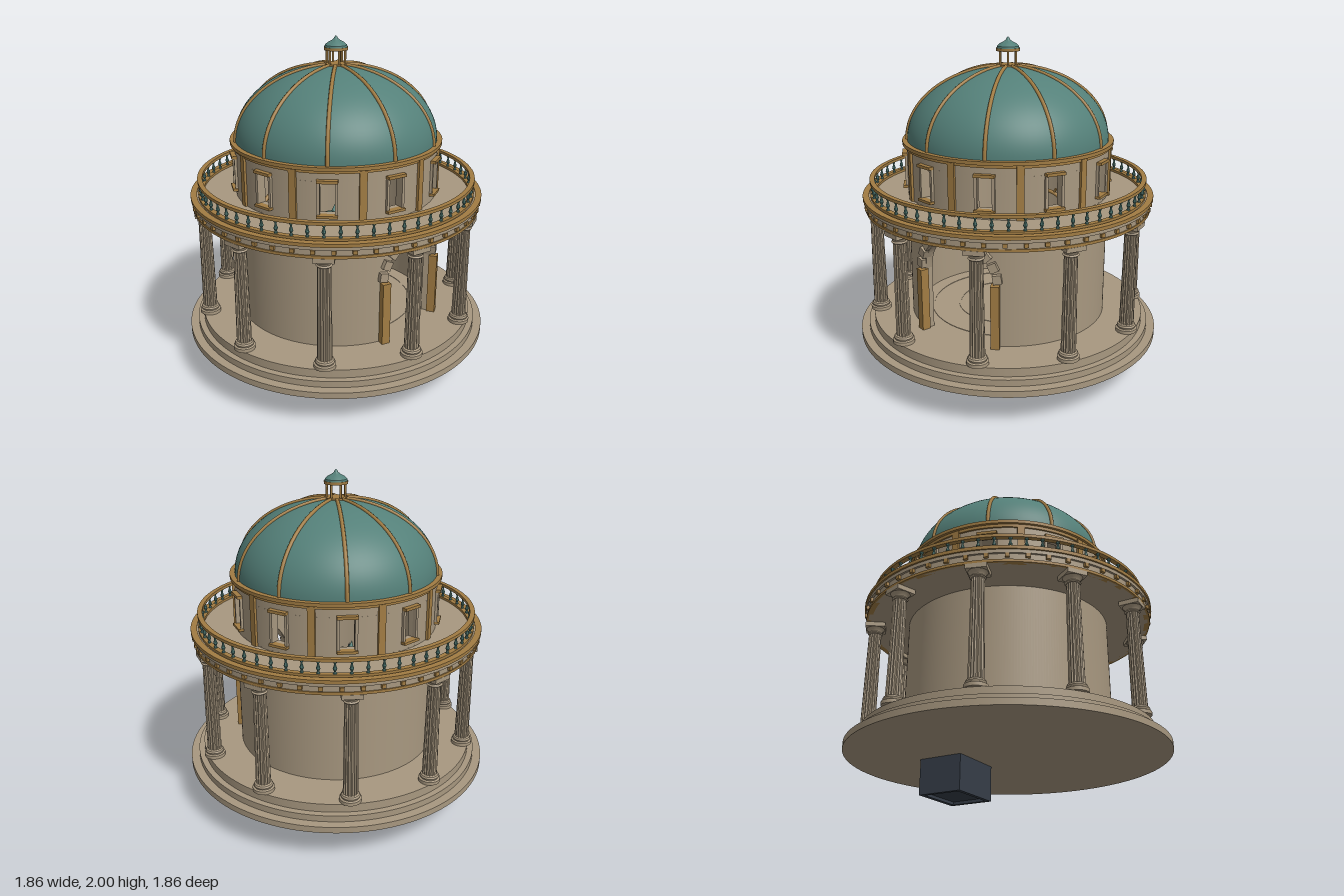
import * as THREE from 'three';
import { toCreasedNormals } from 'three/addons/utils/BufferGeometryUtils.js';

const mat = (name, color, side = THREE.FrontSide) => Object.assign(new THREE.MeshStandardMaterial({ color, side }), { name });
const stone = mat('stone', 0xa89880);
const gold = mat('gold', 0xa17c43);
const teal = mat('verdigris', 0x548079);
const slate = mat('slate', 0x363e49);
const dark = mat('darkTeal', 0x24363a);
const amber = mat('amber', 0xd09a3a);

export function createModel() {
  const model = new THREE.Group();
  const group = (name, parent = model) => {
    const g = new THREE.Group();
    g.name = name;
    parent.add(g);
    return g;
  };
  const add = (parent, name, geo, material, x = 0, y = 0, z = 0) => {
    const m = new THREE.Mesh(geo, material);
    m.name = name;
    m.position.set(x, y, z);
    parent.add(m);
    return m;
  };
  const lathe = (pts, seg = 96) => toCreasedNormals(
    new THREE.LatheGeometry(pts.map(p => new THREE.Vector2(...p)), seg), 0.6);
  const ring = (ri, ro, y0, y1, seg = 96) => lathe([[ri, y0], [ro, y0], [ro, y1], [ri, y1], [ri, y0]], seg);
  const box = (w, h, d) => new THREE.BoxGeometry(w, h, d);
  const cyl = (rt, rb, h, seg = 12) => new THREE.CylinderGeometry(rt, rb, h, seg);

  // Curved wall block: a box bent round the y axis; angle 0 faces the front
  const wall = (a0, a1, ri, ro, y0, y1, bottom) => {
    const g = new THREE.BoxGeometry(a1 - a0, y1 - y0, ro - ri, Math.max(2, Math.ceil((a1 - a0) * 40)));
    const p = g.attributes.position;
    for (let i = 0; i < p.count; i++) {
      const a = p.getX(i) + (a0 + a1) / 2, r = p.getZ(i) + (ri + ro) / 2;
      const low = p.getY(i) < 0;
      p.setXYZ(i, r * Math.sin(a), low ? (bottom ? bottom(a) : y0) : y1, r * Math.cos(a));
    }
    g.computeVertexNormals();
    return g;
  };
  // Calls fn with a pivot turned to each of n even angles
  const around = (parent, name, n, offset, fn) => {
    for (let k = 0; k < n; k++) {
      const g = group(name, parent);
      g.rotation.y = offset + k * Math.PI * 2 / n;
      fn(g, k);
    }
  };

  // Stepped base, cut through by the stairwell
  const base = group('base');
  for (const [r, y0, y1] of [[0.93, 0.205, 0.242], [0.88, 0.242, 0.28], [0.845, 0.28, 0.33]]) {
    const s = new THREE.Shape().absarc(0, 0, r, 0, Math.PI * 2);
    s.holes.push(new THREE.Path([[0.2, -0.085], [0.2, 0.205], [0.42, 0.205], [0.42, -0.085]].map(p => new THREE.Vector2(...p))));
    const g = new THREE.ExtrudeGeometry(s, { depth: y1 - y0, bevelEnabled: false, curveSegments: 96 });
    g.rotateX(-Math.PI / 2);
    add(base, 'step', toCreasedNormals(g, 0.6), stone, 0, y0, 0);
  }

  // Stairwell below the floor, with steps and a small rail
  const well = group('stairwell');
  for (const x of [0.1875, 0.4325]) add(well, 'sideWall', box(0.025, 0.205, 0.34), slate, x, 0.1025, -0.06);
  for (const z of [0.0975, -0.2175]) add(well, 'endWall', box(0.22, 0.205, 0.025), slate, 0.31, 0.1025, z);
  add(well, 'wellFloor', box(0.22, 0.015, 0.29), slate, 0.31, 0.025, -0.06);
  for (let i = 0; i < 5; i++) add(well, 'stair', box(0.22, 0.05 * (i + 1), 0.05), slate, 0.31, 0.03 + 0.025 * (i + 1), 0.05 - (4 - i) * 0.05);
  for (const z of [0.09, -0.06, -0.21]) add(well, 'railPost', cyl(0.01, 0.01, 0.12, 8), teal, 0.19, 0.39, z);
  add(well, 'handRail', box(0.022, 0.015, 0.33), teal, 0.19, 0.453, -0.06);

  // Lower wall with an arched doorway
  const room = group('room');
  const doorA = Math.asin(0.22 / 0.58);
  add(room, 'wall', wall(doorA, Math.PI * 2 - doorA, 0.56, 0.605, 0.33, 1.09), stone);
  add(room, 'archWall', wall(-doorA, doorA, 0.56, 0.605, 0.7, 1.09,
    a => 0.71 + Math.sqrt(Math.max(0, 0.22 ** 2 - (0.58 * Math.sin(a)) ** 2))), stone);
  for (const s of [-1, 1]) add(room, 'doorPost', box(0.05, 0.38, 0.05), gold, s * 0.245, 0.52, 0.57).rotation.y = s * 0.41;
  for (let i = 0; i < 11; i++) {
    const t = Math.PI * (i + 0.5) / 11, x = 0.25 * Math.cos(t);
    const v = add(room, i === 5 ? 'keystone' : 'archStone', box(i === 5 ? 0.08 : 0.05, 0.052, 0.06), stone,
      x, 0.71 + 0.25 * Math.sin(t), Math.sqrt(0.602 ** 2 - x * x));
    v.rotation.set(0, Math.asin(x / 0.602), t, 'YXZ');
  }
  for (const r of [0.3, 0.47]) add(room, 'floorRing', ring(r, r + 0.012, 0.328, 0.333), stone);

  // Sun ring on the rear wall
  const halo = group('sunRing');
  halo.position.set(0, 0.765, -0.5);
  add(halo, 'hoop', new THREE.TorusGeometry(0.185, 0.013, 8, 64), gold);
  for (let i = 0; i < 16; i++) {
    const t = i * Math.PI / 8;
    add(halo, 'ray', box(0.03, 0.012, 0.015), gold, 0.205 * Math.cos(t), 0.205 * Math.sin(t), 0).rotation.z = t;
  }

  // Ten fluted columns
  const flute = cyl(0.037, 0.043, 0.58, 64);
  const fp = flute.attributes.position;
  for (let i = 0; i < fp.count; i++) {
    const x = fp.getX(i), z = fp.getZ(i);
    const step = Math.round(Math.atan2(x, z) / (Math.PI * 2) * 64 + 64) % 4;
    const k = [1, 0.9, 0.87, 0.9][step];
    fp.setXYZ(i, x * k, fp.getY(i), z * k);
  }
  const shaft = toCreasedNormals(flute, 0.4);
  const foot = lathe([[0, 0.33], [0.062, 0.33], [0.062, 0.35], [0.052, 0.355], [0.055, 0.365], [0.05, 0.375], [0.04, 0.38], [0, 0.38]], 24);
  const bell = lathe([[0, 0.935], [0.038, 0.935], [0.045, 0.942], [0.038, 0.95], [0.042, 0.96], [0.055, 0.975], [0, 0.975]], 24);
  const abacus = box(0.116, 0.026, 0.116);
  around(group('colonnade'), 'column', 10, Math.PI / 10 * 5, g => {
    add(g, 'columnFoot', foot, stone, 0, 0, 0.805);
    add(g, 'columnShaft', shaft, stone, 0, 0.66, 0.805);
    add(g, 'columnBell', bell, stone, 0, 0, 0.805);
    add(g, 'columnAbacus', abacus, stone, 0, 0.987, 0.805);
  });

  // Ring beam, cornice and dentils
  const beam = group('entablature');
  add(beam, 'deck', ring(0.6, 0.85, 1.0, 1.085), stone);
  add(beam, 'lowerMoulding', ring(0.83, 0.862, 1.0, 1.016), gold);
  add(beam, 'frieze', ring(0.84, 0.856, 1.016, 1.065), stone);
  add(beam, 'corniceShelf', ring(0.84, 0.868, 1.05, 1.07), stone);
  add(beam, 'cornice', ring(0.84, 0.877, 1.07, 1.09), gold);
  const dentil = box(0.024, 0.022, 0.022);
  around(beam, 'dentil', 50, 0, g => add(g, 'dentilBlock', dentil, gold, 0, 1.037, 0.861));

  // Balustrade
  const rails = group('balustrade');
  add(rails, 'bottomRail', ring(0.802, 0.832, 1.085, 1.1), gold);
  add(rails, 'topRail', ring(0.803, 0.832, 1.17, 1.188), gold);
  const vase = lathe([[0.009, 1.1], [0.009, 1.108], [0.005, 1.113], [0.012, 1.128], [0.006, 1.148], [0.005, 1.157], [0.01, 1.164], [0.01, 1.17]], 8);
  around(rails, 'baluster', 60, 0, g => add(g, 'balusterVase', vase, teal, 0, 0, 0.817));

  // Upper drum: ten windows between gold pilasters
  const drum = group('drum');
  const half = 0.075, bay = Math.PI / 10;
  add(drum, 'lowerBand', ring(0.56, 0.605, 1.08, 1.14), stone);
  add(drum, 'upperBand', ring(0.56, 0.605, 1.325, 1.4), stone);
  const pier = wall(half, bay * 2 - half, 0.56, 0.605, 1.14, 1.325);
  const pilaster = box(0.042, 0.3, 0.03);
  around(drum, 'bay', 10, Math.PI / 2, g => {
    add(g, 'pier', pier, stone);
    add(g, 'lintel', box(0.115, 0.017, 0.04), gold, 0, 1.33, 0.612);
    add(g, 'sill', box(0.115, 0.015, 0.04), gold, 0, 1.133, 0.612);
    for (const s of [-1, 1]) add(g, 'jamb', box(0.016, 0.18, 0.025), stone, s * 0.049, 1.232, 0.605);
    const side = group('pilaster', g);
    side.rotation.y = bay;
    add(side, 'pilasterStrip', pilaster, gold, 0, 1.235, 0.604);
  });
  add(drum, 'lowerCornice', ring(0.56, 0.615, 1.372, 1.39), gold);
  add(drum, 'upperCornice', ring(0.56, 0.63, 1.39, 1.41), gold);

  // Dome shell, inner shell and ribs
  const dome = group('dome');
  const curve = (r, h, n = 24) => Array.from({ length: n + 1 }, (_, i) => {
    const t = i / n * (Math.PI / 2 - 0.1);
    return [r * Math.cos(t), 1.405 + h * Math.sin(t)];
  });
  add(dome, 'shell', lathe(curve(0.6, 0.43)), teal);
  add(dome, 'ceiling', lathe(curve(0.58, 0.41).reverse()), stone);
  add(dome, 'crown', ring(0, 0.068, 1.815, 1.842, 32), gold);
  const ribPath = new THREE.CatmullRomCurve3(curve(0.601, 0.432, 12).map(([r, y]) => new THREE.Vector3(0, y, r)));
  const rib = new THREE.TubeGeometry(ribPath, 32, 0.011, 8);
  around(dome, 'rib', 10, Math.PI / 2, g => add(g, 'ribBar', rib, gold));

  // Lantern
  const lantern = group('lantern');
  around(lantern, 'lanternPost', 6, Math.PI / 2, g => add(g, 'post', cyl(0.007, 0.007, 0.085, 8), gold, 0, 1.88, 0.053));
  add(lantern, 'collar', ring(0, 0.07, 1.918, 1.934, 32), gold);
  add(lantern, 'cap', lathe([[0.066, 1.934], [0.064, 1.945], [0.048, 1.96], [0.025, 1.972], [0.012, 1.982], [0.009, 1.99], [0, 2.0]], 32), teal);

  // Pedestal
  const shrine = group('statue');
  shrine.position.z = -0.1;
  const ped = group('pedestal', shrine);
  add(ped, 'plinth', cyl(0.155, 0.165, 0.05, 48), stone, 0, 0.355, 0);
  add(ped, 'drumBlock', cyl(0.138, 0.138, 0.1, 48), slate, 0, 0.43, 0);
  add(ped, 'topPlate', cyl(0.152, 0.145, 0.022, 48), gold, 0, 0.488, 0);
  add(ped, 'lowerBand', cyl(0.144, 0.144, 0.01, 48), gold, 0, 0.384, 0);
  around(ped, 'ornament', 12, 0, g => {
    add(g, 'diamond', box(0.016, 0.016, 0.006), gold, 0, 0.43, 0.139).rotation.z = Math.PI / 4;
  });

  // Seated horned cat
  const cat = group('cat', shrine);
  const sphere = new THREE.SphereGeometry(1, 24, 16);
  const ball = (name, m, x, y, z, sx, sy, sz) => {
    const b = add(cat, name, sphere, m, x, y, z);
    b.scale.set(sx, sy, sz);
    return b;
  };
  ball('body', teal, 0, 0.63, -0.02, 0.095, 0.135, 0.09);
  ball('chest', teal, 0, 0.68, 0.025, 0.08, 0.08, 0.065);
  ball('head', teal, 0, 0.835, 0.04, 0.088, 0.068, 0.07);
  ball('muzzle', teal, 0, 0.805, 0.1, 0.042, 0.028, 0.025);
  ball('nose', dark, 0, 0.825, 0.122, 0.012, 0.008, 0.008);
  ball('mouth', amber, 0, 0.786, 0.1, 0.04, 0.007, 0.022);
  ball('medallion', gold, 0, 0.7, 0.09, 0.022, 0.024, 0.008);
  const collar = add(cat, 'collar', new THREE.TorusGeometry(0.062, 0.009, 8, 32), gold, 0, 0.755, 0.025);
  collar.rotation.x = Math.PI / 2 + 0.3;
  for (const s of [-1, 1]) {
    ball('haunch', teal, s * 0.09, 0.56, -0.01, 0.052, 0.062, 0.085);
    ball('hindPaw', teal, s * 0.1, 0.518, 0.06, 0.035, 0.02, 0.045);
    ball('frontPaw', teal, s * 0.042, 0.52, 0.105, 0.036, 0.022, 0.042);
    add(cat, 'frontLeg', cyl(0.034, 0.027, 0.16, 16), teal, s * 0.042, 0.595, 0.08);
    ball('eye', amber, s * 0.04, 0.85, 0.098, 0.022, 0.011, 0.01).rotation.z = s * 0.25;
    ball('pupil', dark, s * 0.038, 0.85, 0.107, 0.005, 0.009, 0.004);
    ball('brow', dark, s * 0.045, 0.872, 0.092, 0.03, 0.006, 0.012).rotation.z = s * 0.35;
    add(cat, 'ear', new THREE.ConeGeometry(0.03, 0.085, 12), teal, s * 0.068, 0.895, 0.03).rotation.z = -s * 0.2;
    add(cat, 'innerEar', new THREE.ConeGeometry(0.018, 0.06, 12), dark, s * 0.067, 0.892, 0.046).rotation.z = -s * 0.2;
    for (let i = 0; i < 3; i++) {
      add(cat, 'cheekTuft', new THREE.ConeGeometry(0.014, 0.075, 8), dark, s * 0.095, 0.825 - i * 0.02, 0.05).rotation.z = -s * (1.3 + i * 0.35);
    }
  }
  const tail = new THREE.CatmullRomCurve3([[0.03, 0.53, -0.09], [0.12, 0.52, -0.07], [0.14, 0.53, 0], [0.125, 0.53, 0.06]].map(p => new THREE.Vector3(...p)));
  add(cat, 'tail', new THREE.TubeGeometry(tail, 20, 0.016, 8), teal);

  return model;
}
